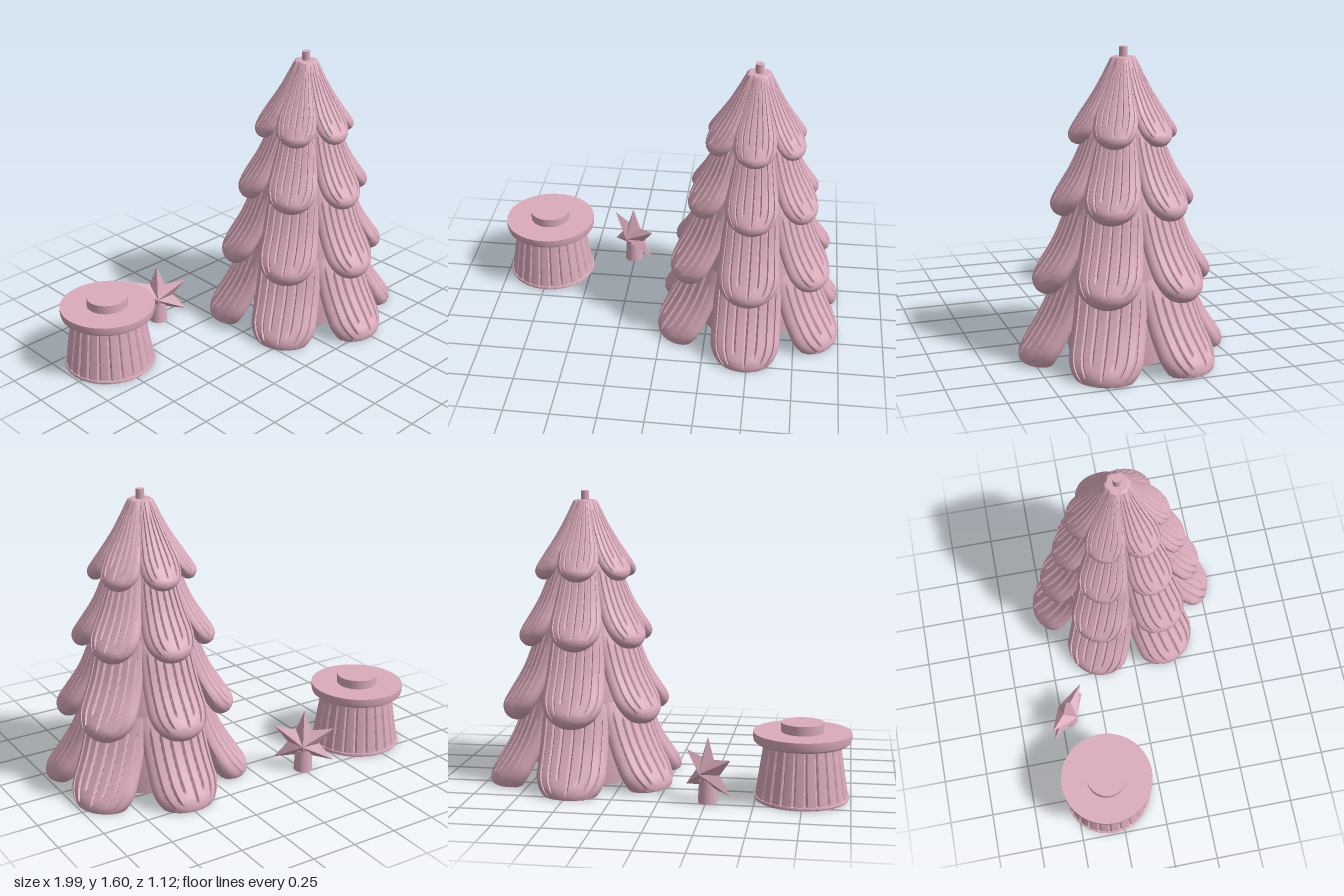
import * as THREE from 'three';
import { toCreasedNormals } from 'three/addons/utils/BufferGeometryUtils.js';

const pink = new THREE.MeshStandardMaterial({ color: 0xdaabbb });
pink.name = 'dusty pink';

const TREE_TOP = 1.55;
const lerp = THREE.MathUtils.lerp;

function part(name, geometry, parent, x = 0, y = 0, z = 0) {
  const mesh = new THREE.Mesh(geometry, pink);
  mesh.name = name;
  mesh.position.set(x, y, z);
  parent.add(mesh);
  return mesh;
}

const lathe = (pts, segments) => toCreasedNormals(
  new THREE.LatheGeometry(pts.map(([r, y]) => new THREE.Vector2(r, y)), segments), 0.6);

// carved lines on a petal: angle across its face, start and end along its length
const GROOVES = [
  [-0.95, 0.1, 0.93], [-0.6, 0.15, 0.9], [-0.3, 0.05, 0.8], [0.03, 0.2, 0.92],
  [0.33, 0.1, 0.82], [0.64, 0.05, 0.9], [0.97, 0.15, 0.93],
];
const NOTCH = 0.055;

// angles around a petal's section: outer face with notch samples, then inner face
const SECTION = (() => {
  const outer = [];
  for (let i = 0; i <= 16; i++) {
    const a = (i / 16 - 0.5) * Math.PI;
    if (GROOVES.every(([g]) => Math.abs(g - a) > NOTCH * 1.4)) outer.push({ a, groove: null });
  }
  for (const groove of GROOVES) {
    outer.push({ a: groove[0] - NOTCH, groove: null });
    outer.push({ a: groove[0], groove });
    outer.push({ a: groove[0] + NOTCH, groove: null });
  }
  outer.sort((p, q) => p.a - q.a);
  for (let i = 1; i < 12; i++) outer.push({ a: Math.PI * (0.5 + i / 12), groove: null });
  return outer;
})();

// a thick drooping petal swept along a profile of [radius, height] points
function petalGeometry({ path, width, thick, topThick, seed }) {
  const curve = new THREE.CatmullRomCurve3(path.map(([r, y]) => new THREE.Vector3(r, y, 0)));
  const length = curve.getLength();
  const rows = 40, n = SECTION.length;
  const topWidth = 0.62 * path[0][0] + 0.015;
  const positions = [], index = [];
  const round = (d, size) => (d < size ? Math.sqrt(Math.max(0, 1 - (1 - d / size) ** 2)) : 1);
  for (let i = 0; i <= rows; i++) {
    const s = Math.sin((i / rows) * Math.PI / 2);
    const p = curve.getPointAt(s), t = curve.getTangentAt(s);
    const d = length * (1 - s);
    const w = lerp(topWidth, width, Math.min(1, s * 1.5)) * round(d, width);
    const h = lerp(topThick, thick, s) * round(d, thick);
    SECTION.forEach(({ a, groove }, j) => {
      let depth = 0;
      if (groove && s > groove[1] && s < groove[2]) {
        const k = (s - groove[1]) / (groove[2] - groove[1]);
        const rough = 0.8 + 0.2 * Math.sin(i * 2.3 + j * 1.7 + seed);
        depth = 0.1 * width * Math.min(1, 5 * Math.sin(k * Math.PI)) * rough * Math.min(1, w / width + 0.2);
      }
      const out = h * Math.cos(a) - depth;
      const y = p.y + t.x * out;
      positions.push(w * Math.sin(a), THREE.MathUtils.clamp(y, 0, TREE_TOP), p.x - t.y * out);
      if (i < rows) {
        const A = i * n + j, B = i * n + (j + 1) % n;
        index.push(A, A + n, B, B, A + n, B + n);
      }
    });
  }
  const geometry = new THREE.BufferGeometry();
  geometry.setAttribute('position', new THREE.Float32BufferAttribute(positions, 3));
  geometry.setIndex(index);
  return toCreasedNormals(geometry, 0.55);
}

function buildTree() {
  const tree = new THREE.Group();
  tree.name = 'tree';
  part('treeCore', lathe([[0, 0], [0.28, 0], [0.3, 0.25], [0.25, 0.6], [0.19, 0.95],
    [0.115, 1.3], [0.048, TREE_TOP], [0, TREE_TOP]], 48), tree);
  part('topPeg', new THREE.CylinderGeometry(0.022, 0.022, 0.1, 24), tree, 0, 1.55);

  // four tiers of six petals
  const tiers = [
    { path: [[0.27, 0.46], [0.355, 0.22], [0.515, -0.05]], width: 0.19, thick: 0.09, topThick: 0.06 },
    { path: [[0.21, 0.86], [0.3, 0.6], [0.448, 0.36]], width: 0.168, thick: 0.07, topThick: 0.05 },
    { path: [[0.13, 1.22], [0.22, 0.98], [0.355, 0.762]], width: 0.142, thick: 0.058, topThick: 0.045 },
    { path: [[0.022, 1.57], [0.125, 1.35], [0.266, 1.125]], width: 0.112, thick: 0.045, topThick: 0.028 },
  ];
  tiers.forEach((tier, k) => {
    const group = new THREE.Group();
    group.name = `branchTier${k + 1}`;
    const geometry = petalGeometry({ ...tier, seed: k * 2.1 });
    for (let i = 0; i < 6; i++) part('petal', geometry, group).rotation.y = i * Math.PI / 3;
    tree.add(group);
  });
  return tree;
}

// tapered pot with carved vertical lines, a rim and a round peg
function buildPot() {
  const pot = new THREE.Group();
  pot.name = 'pot';
  const perGroove = 6;
  const body = new THREE.CylinderGeometry(0.2, 0.248, 0.31, 24 * perGroove, 12, true);
  const pos = body.attributes.position;
  for (let i = 0; i < pos.count; i++) {
    const column = i % (24 * perGroove + 1), row = Math.floor(i / (24 * perGroove + 1));
    if (column % perGroove === 3 && row > 0 && row < 12) {
      const k = 1 - 0.045 * (0.8 + 0.2 * Math.sin(row * 2 + column));
      pos.setX(i, pos.getX(i) * k);
      pos.setZ(i, pos.getZ(i) * k);
    }
  }
  part('potBody', toCreasedNormals(body, 0.5), pot, 0, 0.155);
  part('potBase', lathe([[0, 0], [0.244, 0], [0.252, 0.008], [0.25, 0.018], [0.24, 0.02]], 72), pot);
  part('potRim', lathe([[0, 0.303], [0.243, 0.303], [0.255, 0.312], [0.26, 0.33],
    [0.26, 0.36], [0, 0.36]], 72), pot);
  part('potPeg', new THREE.CylinderGeometry(0.113, 0.113, 0.06, 48), pot, 0, 0.38);
  return pot;
}

// faceted six-pointed star on a round socket
function buildStar() {
  const star = new THREE.Group();
  star.name = 'starTopper';
  const rim = [];
  for (let i = 0; i < 12; i++) {
    const a = Math.PI / 2 + i * Math.PI / 6, r = i % 2 ? 0.087 : 0.19;
    rim.push([r * Math.cos(a), Math.max(-0.155, r * Math.sin(a)), 0]);
  }
  const positions = [];
  rim.forEach((p, i) => {
    const q = rim[(i + 1) % 12];
    positions.push(0, 0, 0.065, ...p, ...q, 0, 0, -0.065, ...q, ...p);
  });
  const geometry = new THREE.BufferGeometry();
  geometry.setAttribute('position', new THREE.Float32BufferAttribute(positions, 3));
  geometry.computeVertexNormals();
  part('star', geometry, star, 0, 0.16);
  part('starSocket', new THREE.CylinderGeometry(0.045, 0.052, 0.12, 32), star, 0, 0.06);
  return star;
}

export function createModel() {
  const model = new THREE.Group();
  model.name = 'treeKit';
  const tree = buildTree();
  tree.position.set(0.483, 0, 0);
  const pot = buildPot();
  pot.position.set(-0.74, 0, -0.305);
  const star = buildStar();
  star.position.set(-0.258, 0, -0.458);
  star.rotation.y = -0.68;
  model.add(tree, pot, star);
  return model;
}
